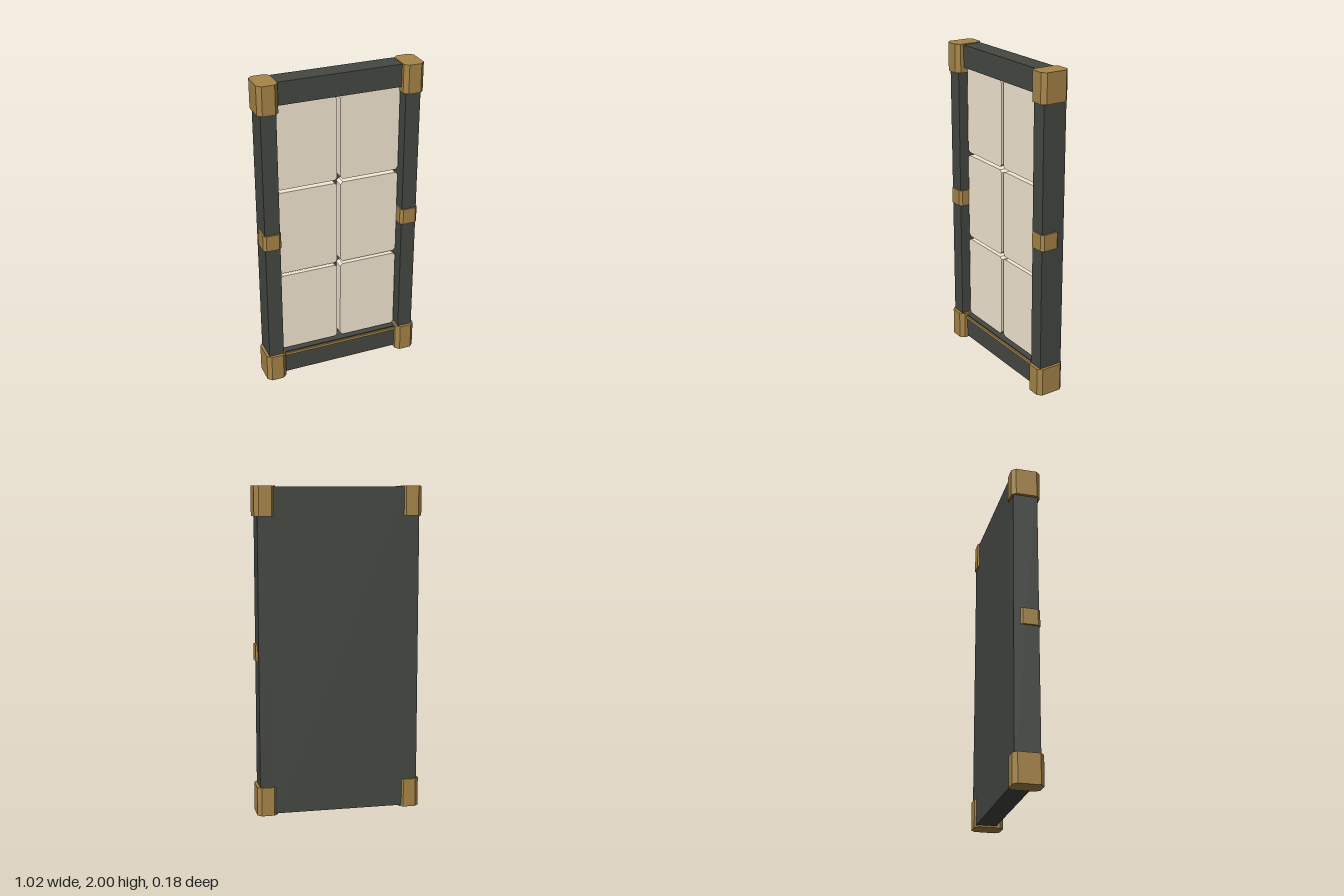
import * as THREE from 'three';

const dark = new THREE.MeshStandardMaterial({ color: 0x454843, flatShading: true });
const brass = new THREE.MeshStandardMaterial({ color: 0xa78548, flatShading: true });
const paper = new THREE.MeshStandardMaterial({ color: 0xf4e8d2, flatShading: true });

// Rectangle with cut corners, centred on the origin
function chamferedRect(w, h, c) {
  const x = w / 2, y = h / 2;
  return new THREE.Shape([
    [-x + c, -y], [x - c, -y], [x, -y + c], [x, y - c],
    [x - c, y], [-x + c, y], [-x, y - c], [-x, -y + c],
  ].map(([a, b]) => new THREE.Vector2(a, b)));
}

function extrude(shape, depth) {
  return new THREE.ExtrudeGeometry(shape, { depth, bevelEnabled: false });
}

export function createModel() {
  const group = new THREE.Group();
  const add = (name, geometry, material) => {
    const mesh = new THREE.Mesh(geometry, material);
    mesh.name = name;
    group.add(mesh);
    return mesh;
  };
  // Box given by its limits on each axis
  const box = (name, material, x0, x1, y0, y1, z0, z1) =>
    add(name, new THREE.BoxGeometry(x1 - x0, y1 - y0, z1 - z0), material)
      .position.set((x0 + x1) / 2, (y0 + y1) / 2, (z0 + z1) / 2);
  // Upright block with chamfered vertical edges
  const block = (name, x0, x1, y0, y1, z0, z1, c) => {
    const geometry = extrude(chamferedRect(x1 - x0, z1 - z0, c), y1 - y0);
    geometry.rotateX(-Math.PI / 2);
    add(name, geometry, brass).position.set((x0 + x1) / 2, y0, (z0 + z1) / 2);
  };

  // Backing and horizontal rails between the posts
  box('backPanel', dark, -0.4, 0.4, 0.01, 1.995, -0.08, -0.05);
  box('topRail', dark, -0.4, 0.4, 1.855, 1.995, -0.05, 0.043);
  box('bottomRail', dark, -0.4, 0.4, 0.01, 0.165, -0.05, 0.043);
  box('brassTrim', brass, -0.39, 0.39, 0.14, 0.157, 0.035, 0.053);

  // Posts with corner caps and middle clasps on both sides
  for (const [side, s] of [['left', 1], ['right', -1]]) {
    const span = (a, b) => (s > 0 ? [a, b] : [-b, -a]);
    box(side + 'Post', dark, ...span(0.4, 0.495), 0.01, 1.99, -0.08, 0.072);
    block(side + 'BottomCap', ...span(0.385, 0.512), 0, 0.178, -0.09, 0.09, 0.025);
    block(side + 'TopCap', ...span(0.385, 0.512), 1.822, 2, -0.09, 0.09, 0.025);
    block(side + 'Clasp', ...span(0.391, 0.506), 0.95, 1.052, -0.045, 0.08, 0.017);
  }

  // Two columns and three rows of raised panes
  const rows = [[0.175, 0.715], [0.735, 1.29], [1.31, 1.847]];
  rows.forEach(([y0, y1], row) => {
    for (const s of [-1, 1]) {
      const geometry = extrude(chamferedRect(0.379, y1 - y0, 0.016), 0.066);
      add(`pane${row + 1}${s > 0 ? 'Left' : 'Right'}`, geometry, paper)
        .position.set(s * 0.2, (y0 + y1) / 2, -0.05);
    }
  });

  return group;
}
